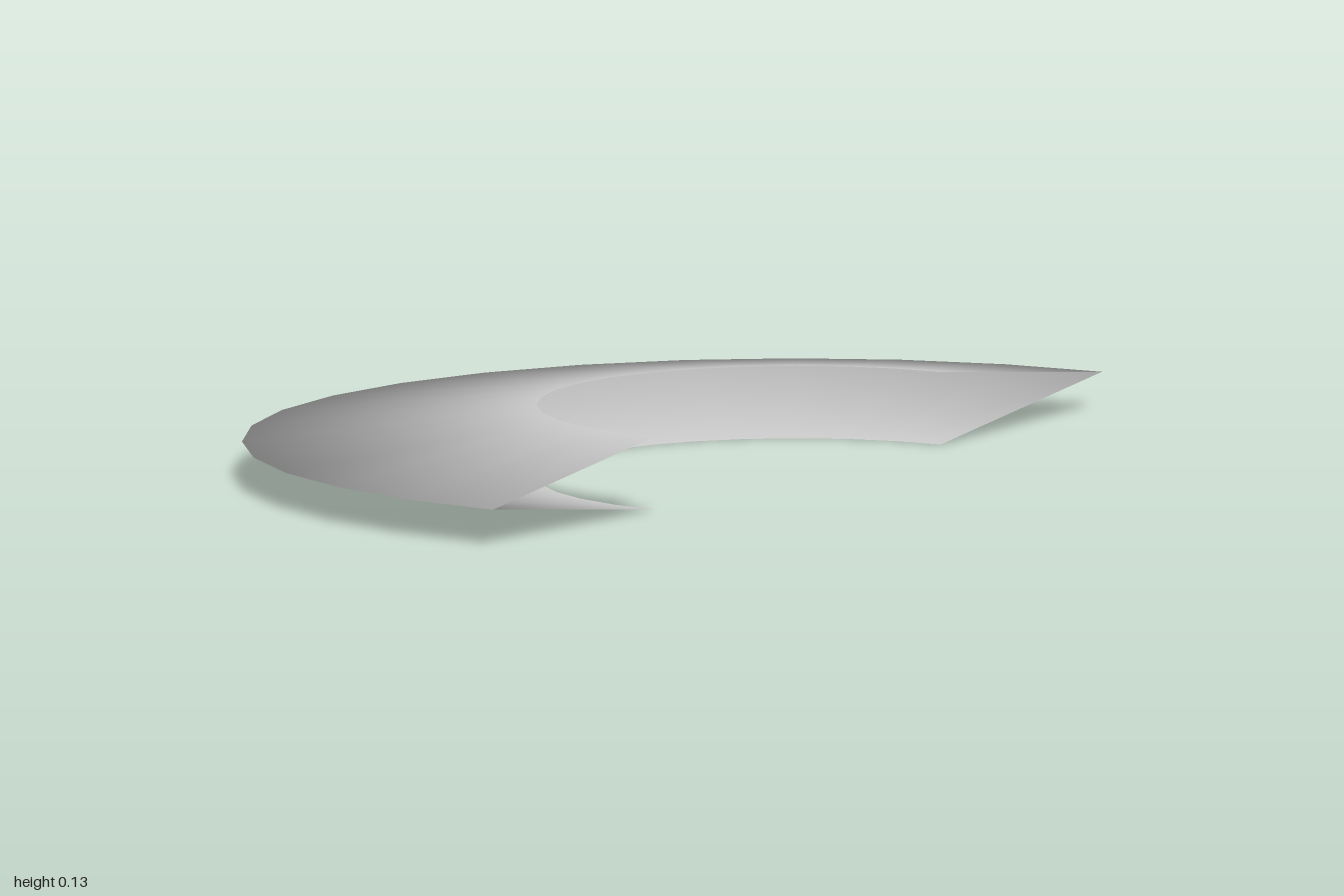
import * as THREE from 'three';

export function createModel() {
  const group = new THREE.Group();
  const material = new THREE.MeshStandardMaterial({ color: 0xcccccc, side: THREE.DoubleSide });

  // V-shaped section, open on the inside, swept through half a turn
  const section = [[0.47, 0], [1, 0.066], [0.47, 0.132]].map(([r, y]) => new THREE.Vector2(r, y));
  const halfRing = new THREE.Mesh(new THREE.LatheGeometry(section, 16, Math.PI, Math.PI), material);
  halfRing.name = 'halfRing';
  halfRing.position.x = 0.5;
  group.add(halfRing);

  return group;
}
